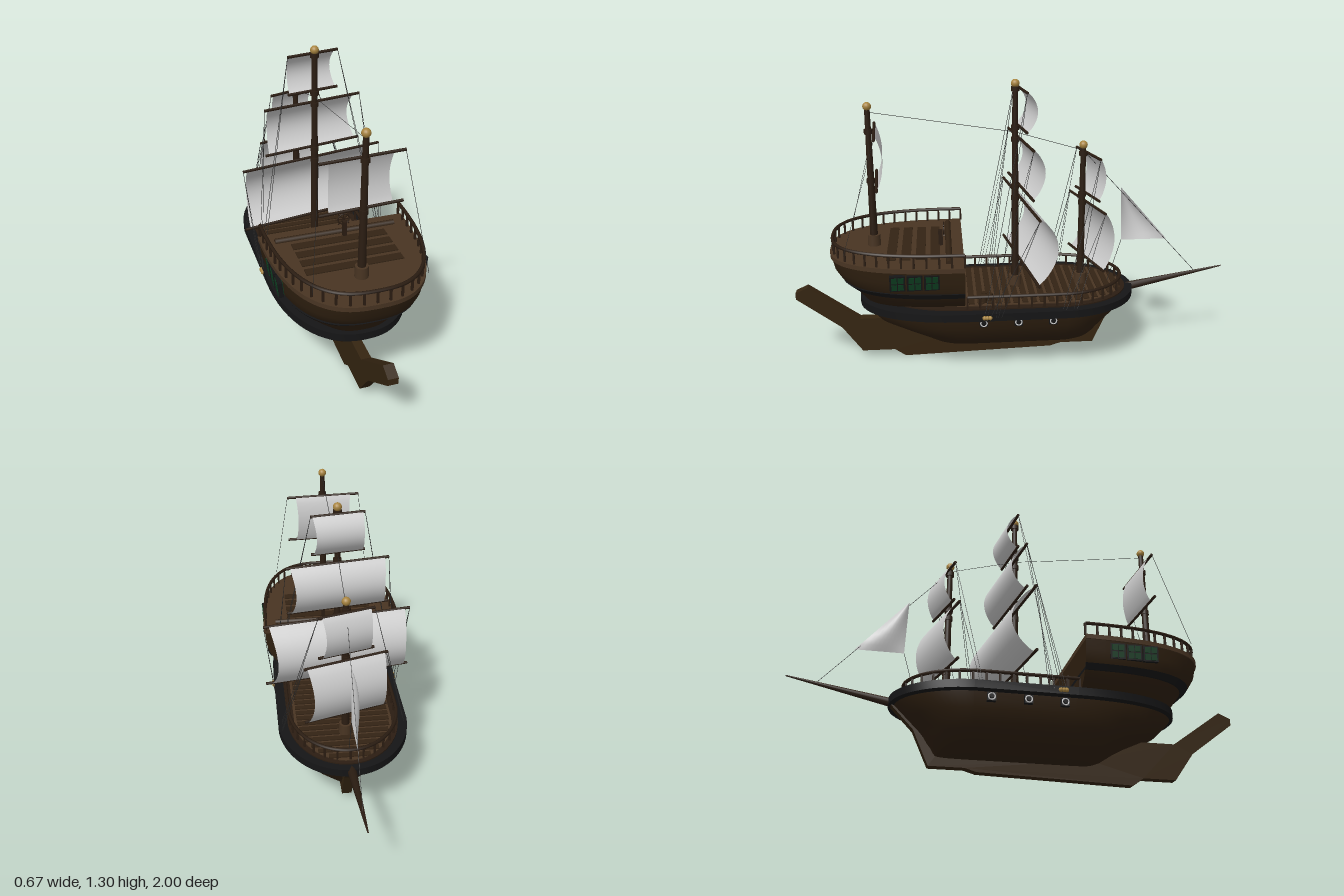
import * as THREE from 'three';
import { toCreasedNormals } from 'three/addons/utils/BufferGeometryUtils.js';

const mat = (color, side = THREE.FrontSide) => new THREE.MeshStandardMaterial({ color, side });
const V = (x, y, z) => new THREE.Vector3(x, y, z);

export function createModel() {
  const model = new THREE.Group();
  const hullMat = mat(0x2f2010), keelMat = mat(0x352511), deckMat = mat(0x483422), plankMat = mat(0x332314);
  const sparMat = mat(0x2b1d12), blackMat = mat(0x151516), goldMat = mat(0xa8843f), ropeMat = mat(0x2a2a2a);
  const greenMat = mat(0x0c3a1e), greyMat = mat(0xcccccc), sailMat = mat(0xcccccc, THREE.DoubleSide);

  const add = (name, geo, material, pos = [0, 0, 0], parent = model) => {
    const m = new THREE.Mesh(geo, material);
    m.name = name;
    m.position.set(...pos);
    parent.add(m);
    return m;
  };
  const box = (name, w, h, d, material, pos, parent) => add(name, new THREE.BoxGeometry(w, h, d), material, pos, parent);

  // Round bar between two points
  const bar = (name, a, b, r0, r1, material, sides = 8) => {
    const m = add(name, new THREE.CylinderGeometry(r1, r0, a.distanceTo(b), sides), material);
    m.position.copy(a).lerp(b, 0.5);
    m.quaternion.setFromUnitVectors(V(0, 1, 0), b.clone().sub(a).normalize());
    return m;
  };
  const rope = (a, b) => bar('rope', a, b, 0.0011, 0.0011, ropeMat, 4);

  // Plan outlines: hull has an elliptic bow and fuller stern, aft castle has a flat front
  const pw = (v, e) => Math.sign(v) * Math.abs(v) ** e;
  const hullLine = (w, bow, stern, n = 64) => Array.from({ length: n }, (_, i) => {
    const a = (i / n) * Math.PI * 2, e = i > n / 2 ? 1 : 0.87, s = pw(Math.sin(a), e);
    return [w * pw(Math.cos(a), e), s >= 0 ? 0.2 + (stern - 0.2) * s : -0.2 + (-0.2 - bow) * s];
  });
  const castleLine = (w, stern, n = 40) => Array.from({ length: n + 1 }, (_, i) => {
    const a = (i / n) * Math.PI;
    return [w * pw(Math.cos(a), 0.75), 0.23 + (stern - 0.23) * Math.max(0, Math.sin(a)) ** 0.75];
  });

  // Closed solid through stacked outlines: [y, outline]
  const loft = (levels) => {
    const n = levels[0][1].length, pos = [], idx = [];
    levels.forEach(([y, line]) => line.forEach(([x, z]) => pos.push(x, y, z)));
    const last = (levels.length - 1) * n, c = levels.length * n;
    for (const [y, line] of [levels[0], levels[levels.length - 1]])
      pos.push(0, y, line.reduce((s, p) => s + p[1], 0) / n);
    for (let i = 0; i < n; i++) {
      const j = (i + 1) % n;
      for (let k = 0; k < last; k += n)
        idx.push(k + i, k + n + i, k + n + j, k + i, k + n + j, k + j);
      idx.push(c, i, j, c + 1, last + j, last + i);
    }
    const g = new THREE.BufferGeometry();
    g.setAttribute('position', new THREE.Float32BufferAttribute(pos, 3));
    g.setIndex(idx);
    return toCreasedNormals(g, 0.7);
  };

  // Hull, wale, inner rim and main deck
  add('hull', loft([
    [0.071, 0.02, -0.36, 0.31], [0.078, 0.065, -0.365, 0.33], [0.09, 0.103, -0.37, 0.36], [0.11, 0.142, -0.38, 0.39],
    [0.13, 0.169, -0.395, 0.42], [0.155, 0.195, -0.41, 0.465], [0.18, 0.215, -0.43, 0.52], [0.23, 0.24, -0.48, 0.63],
    [0.29, 0.256, -0.54, 0.69], [0.32, 0.26, -0.555, 0.7],
  ].map(([y, w, b, s]) => [y, hullLine(w, b, s)])), hullMat);
  add('wale', loft([0.293, 0.328].map((y) => [y, hullLine(0.294, -0.565, 0.705)])), blackMat);
  add('deckRim', loft([0.325, 0.334].map((y) => [y, hullLine(0.252, -0.53, 0.6)])), sparMat);
  add('mainDeck', loft([0.325, 0.338].map((y) => [y, hullLine(0.222, -0.512, 0.6)])), deckMat);
  for (let z = -0.48; z < 0.22; z += 0.04) {
    const t = Math.max(0, (-0.2 - z) / 0.31);
    box('deckPlank', 0.42 * Math.sqrt(1 - t * t), 0.008, 0.026, plankMat, [0, 0.339, z]);
  }

  // Keel with its raised stern arm
  const keel = new THREE.ExtrudeGeometry(new THREE.Shape([
    [1, 0.34], [0.945, 0.365], [0.715, 0.2], [0.5, 0.2], [0.32, 0.1], [-0.34, 0.1], [-0.46, 0.3], [-0.56, 0.3],
    [-0.455, 0.19], [-0.385, 0.035], [-0.23, 0.035], [-0.18, 0.02], [0.51, 0], [0.56, 0.035], [0.71, 0.035],
    [0.8, 0.16], [1, 0.31],
  ].map((p) => new THREE.Vector2(...p))), { depth: 0.044, bevelEnabled: false });
  add('keel', keel.translate(0, 0, -0.022).rotateY(-Math.PI / 2), keelMat);

  // Railings: top rail with posts along an open outline
  const railing = (name, pts, y, h, posts) => {
    const curve = new THREE.CatmullRomCurve3(pts.map(([x, z]) => V(x, y + h, z)));
    add(name + 'Rail', new THREE.TubeGeometry(curve, 80, 0.008, 6), sparMat);
    for (let i = 0; i <= posts; i++) {
      const p = curve.getPointAt(i / posts);
      box(name + 'Post', 0.009, h, 0.009, sparMat, [p.x, y + h / 2, p.z]);
    }
  };
  const railLine = hullLine(0.243, -0.505, 0.6).slice(33, 64);
  railing('deck', [[-0.243, 0.22], ...railLine, [0.243, 0.22]], 0.33, 0.058, 30);

  // Aft castle
  add('aftCastle', loft([
    [0.325, 0.2, 0.68], [0.35, 0.24, 0.695], [0.38, 0.275, 0.715], [0.42, 0.3, 0.745], [0.45, 0.313, 0.785],
    [0.49, 0.32, 0.81], [0.545, 0.325, 0.822],
  ].map(([y, w, s]) => [y, castleLine(w, s)])), hullMat);
  add('castleBand', loft([[0.41, 0.3, 0.745], [0.435, 0.314, 0.775]].map(([y, w, s]) => [y, castleLine(w, s)])), blackMat);
  add('castleDeck', loft([0.54, 0.56].map((y) => [y, castleLine(0.33, 0.826)])), deckMat);
  railing('castle', castleLine(0.318, 0.812), 0.56, 0.056, 28);
  for (let i = 0; i < 4; i++) box('castlePlank', 0.42, 0.006, 0.042, plankMat, [0, 0.561, 0.355 + i * 0.064]);
  bar('castleBeam', V(-0.27, 0.562, 0.295), V(0.27, 0.562, 0.295), 0.014, 0.014, plankMat);
  box('castleDoor', 0.09, 0.15, 0.012, plankMat, [0, 0.41, 0.228]);

  // Castle windows, and gun ports with short barrels
  for (const s of [-1, 1]) {
    for (let i = 0; i < 3; i++) {
      const win = new THREE.Group();
      win.name = 'castleWindow';
      win.position.set(s * 0.312, 0.497, 0.372 + i * 0.073);
      win.rotation.set(0, s * 0.08, -s * 0.1);
      model.add(win);
      box('windowFrame', 0.02, 0.07, 0.066, blackMat, [0, 0, 0], win);
      for (const y of [-1, 1]) for (const z of [-1, 1])
        box('windowPane', 0.026, 0.026, 0.024, greenMat, [0, y * 0.016, z * 0.014], win);
    }
    for (const z of [0.15, -0.005, -0.16]) {
      box('gunPort', 0.04, 0.036, 0.036, blackMat, [s * 0.246, 0.27, z]);
      add('gunPortRing', new THREE.TorusGeometry(0.014, 0.003, 6, 16), greyMat, [s * 0.266, 0.27, z]).rotation.y = Math.PI / 2;
      bar('gunBarrel', V(s * 0.24, 0.27, z), V(s * 0.272, 0.27, z), 0.011, 0.009, blackMat, 12);
    }
  }

  // Steering wheel and small stacked casks
  const wheel = new THREE.Group();
  wheel.name = 'steeringWheel';
  wheel.position.set(0.03, 0.635, 0.315);
  model.add(wheel);
  add('wheelRim', new THREE.TorusGeometry(0.025, 0.003, 6, 20), sparMat, [0, 0, 0], wheel);
  for (let i = 0; i < 4; i++) box('wheelSpoke', 0.07, 0.004, 0.004, sparMat, [0, 0, 0], wheel).rotation.z = i * Math.PI / 4;
  box('wheelStand', 0.016, 0.075, 0.02, sparMat, [0.03, 0.595, 0.33]);
  for (const [x, z] of [[0.155, 0.14], [0.187, 0.145], [0.174, 0.118]])
    add('cask', new THREE.CylinderGeometry(0.014, 0.014, 0.035, 12), plankMat, [x, 0.355, z]);

  // Masts; sails are [top y, bottom y, yard half length, sail half width, billow]
  const masts = [
    { name: 'main', z: -0.012, base: 0.33, top: 1.275, turn: 0.15, rail: [0.295, 0.31, 0.15],
      sails: [[0.765, 0.465, 0.34, 0.315, 0.09], [1.037, 0.82, 0.23, 0.212, 0.055], [1.262, 1.09, 0.118, 0.11, 0.045]] },
    { name: 'fore', z: -0.32, base: 0.33, top: 0.995, turn: 0.27, rail: [0.28, 0.31, -0.18],
      sails: [[0.735, 0.465, 0.19, 0.175, 0.055], [0.965, 0.775, 0.125, 0.108, 0.035]] },
    { name: 'mizzen', z: 0.63, base: 0.55, top: 1.185, turn: 0.06, rail: [0.24, 0.6, 0.755],
      sails: [[1.085, 0.862, 0.177, 0.135, 0.025]] },
  ];
  for (const { name, z, base, top, turn, rail, sails } of masts) {
    bar(name + 'Mast', V(0, base, z), V(0, top, z), 0.018, 0.012, sparMat, 14);
    bar(name + 'MastFoot', V(0, base, z), V(0, base + 0.06, z), 0.03, 0.028, deckMat, 14);
    add(name + 'MastBall', new THREE.SphereGeometry(0.019, 16, 12), goldMat, [0, top + 0.01, z]);
    for (const [y0, y1, yard, half, billow] of sails) {
      const dir = V(Math.cos(turn), 0, -Math.sin(turn));
      for (const y of [y0, y1]) {
        const c = V(0, y, z - 0.024);
        bar(name + 'Yard', c.clone().addScaledVector(dir, -yard), c.clone().addScaledVector(dir, yard), 0.0065, 0.0065, sparMat);
        bar(name + 'YardCollar', V(0, y - 0.01, z), V(0, y + 0.01, z), 0.019, 0.019, sparMat, 12);
      }
      const cloth = new THREE.PlaneGeometry(half * 2, y0 - y1, 8, 16), p = cloth.attributes.position;
      for (let i = 0; i < p.count; i++) {
        const b = Math.max(0, Math.sin(Math.PI * (p.getY(i) / (y0 - y1) + 0.5)));
        p.setX(i, p.getX(i) * (1 - 0.06 * b));
        p.setZ(i, -billow * b ** 0.8);
      }
      cloth.computeVertexNormals();
      add(name + 'Sail', cloth, sailMat, [0, (y0 + y1) / 2, z - 0.03]).rotation.y = turn;
      // Paired braces from each yard tip down to the rail
      for (const s of [-1, 1]) {
        const tip = V(0, y0, z - 0.024).addScaledVector(dir, s * yard);
        const foot = V(s * rail[0], rail[1], rail[2] - (1.3 - y0) * 0.05);
        rope(tip, foot);
        if (name !== 'mizzen') {
          rope(tip, foot.clone().add(V(0, 0, -0.05)));
          add('deadeye', new THREE.SphereGeometry(0.01, 8, 6), goldMat, foot.toArray());
        }
      }
    }
  }

  // Bowsprit, stays and jib
  bar('bowsprit', V(0, 0.3, -0.5), V(0, 0.398, -1), 0.022, 0.003, sparMat, 10);
  const stay = [V(0, 1.17, 0.63), V(0, 1.07, -0.01), V(0, 0.98, -0.32), V(0, 0.378, -0.87)];
  for (let i = 0; i < 3; i++) rope(stay[i], stay[i + 1]);
  const jib = new THREE.PlaneGeometry(1, 1, 10, 10), jp = jib.attributes.position;
  for (let i = 0; i < jp.count; i++) {
    const u = jp.getX(i) + 0.5, v = jp.getY(i) + 0.5, w = u * (1 - v);
    jp.setXYZ(i, -0.1 * Math.sin(Math.PI * u) * v * (1 - v), 0.545 + 0.255 * v, -0.51 + 0.01 * v - 0.215 * w);
  }
  jib.computeVertexNormals();
  add('jib', jib, sailMat);
  rope(V(0, 0.545, -0.51), V(0, 0.34, -0.45));

  return model;
}
